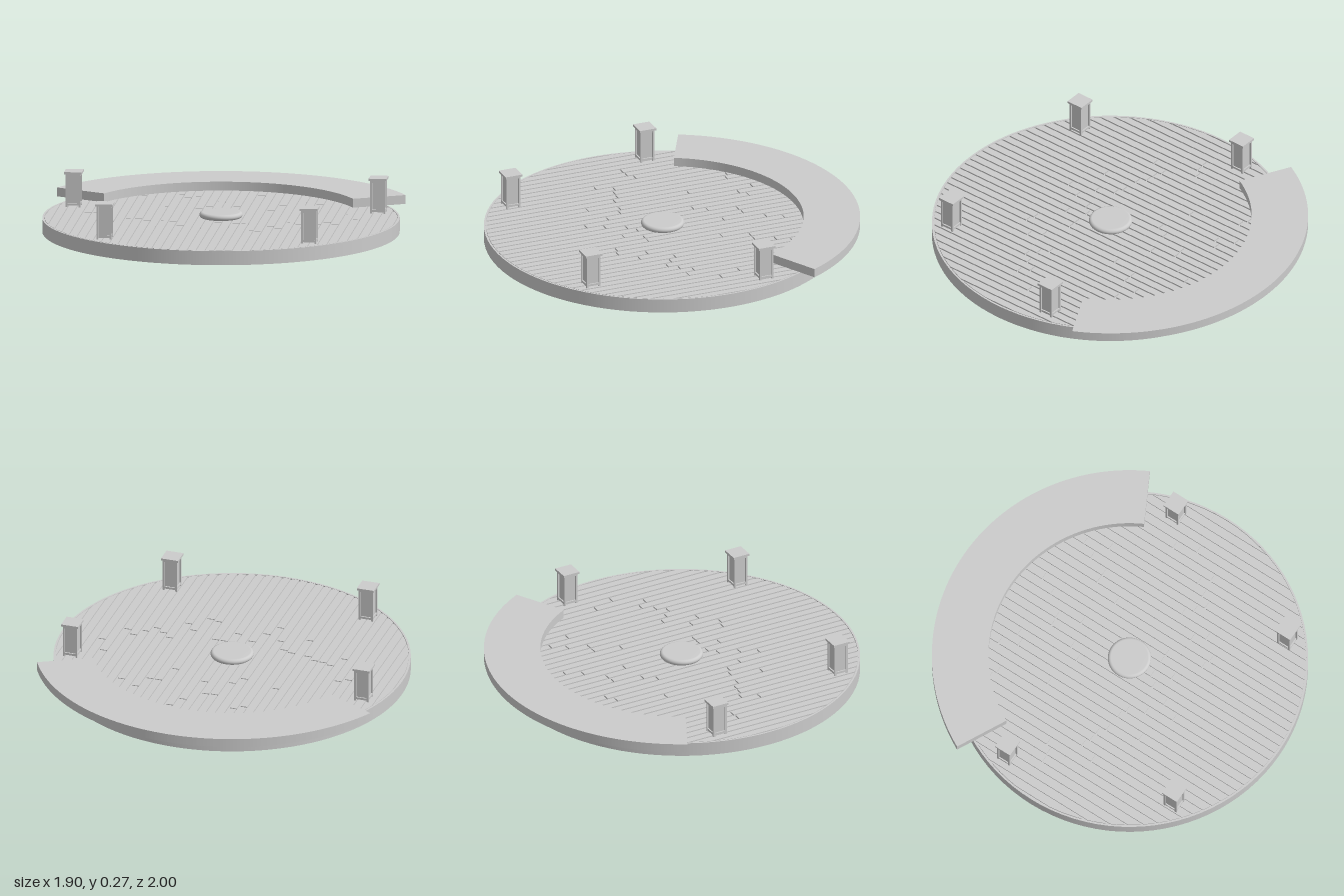
import * as THREE from 'three';

const RADIUS = 0.95, INNER = 0.937, TOP = 0.076, FLOOR = 0.068;
const PITCH = 0.048, GAP = 0.01;

// board joints (z), one entry per column, starting at the given column
const BACK = { first: -10, z: [-.515, -.495, null, -.235, -.58, -.485, -.52, -.18, -.245, -.4, -.405,
  -.275, -.5, -.585, null, -.185, -.33, -.33, -.435, -.51, -.38] };
const FRONT = { first: -15, z: [-.015, -.02, -.05, .2, .11, .13, .135, .17, .345, .18, .2, .29, .435, .345,
  .24, .2, .3, .2, .2, .4, .415, .265, .33, .145, .19, .23, .18, .12, .17, -.1, .02] };

export function createModel() {
  const grey = new THREE.MeshStandardMaterial({ color: 0xcccccc });
  grey.name = 'plain grey';
  const model = new THREE.Group();
  model.name = 'roundDeck';
  model.position.z = 0.05;

  const add = (parent, name, geometry, x = 0, y = 0, z = 0) => {
    const mesh = new THREE.Mesh(geometry, grey);
    mesh.name = name;
    mesh.position.set(x, y, z);
    parent.add(mesh);
    return mesh;
  };
  // flat outline (x, -z) raised upwards
  const slab = (shape, height, curveSegments = 64) =>
    new THREE.ExtrudeGeometry(shape, { depth: height, bevelEnabled: false, curveSegments }).rotateX(-Math.PI / 2);

  // round base with a thin rim around the boards
  add(model, 'deckBase', new THREE.CylinderGeometry(RADIUS, RADIUS, FLOOR, 96), 0, FLOOR / 2, 0);
  const rimProfile = [[INNER + 0.003, FLOOR], [RADIUS, FLOOR], [RADIUS, TOP], [RADIUS, TOP],
    [INNER + 0.003, TOP], [INNER + 0.003, TOP], [INNER + 0.003, FLOOR]];
  const rim = new THREE.LatheGeometry(rimProfile.map(p => new THREE.Vector2(...p)), 96);
  add(model, 'deckRim', rim.toNonIndexed()).geometry.computeVertexNormals();

  // boards running front to back, trimmed to the circle
  const planks = new THREE.Group();
  planks.name = 'planks';
  model.add(planks);
  const edge = x => Math.sqrt(Math.max(0, INNER * INNER - x * x));
  for (let col = -19; col <= 19; col++) {
    const x0 = Math.max(-INNER + 0.002, col * PITCH - (PITCH - GAP) / 2);
    const x1 = Math.min(INNER - 0.002, col * PITCH + (PITCH - GAP) / 2);
    const joints = [BACK, FRONT].map(row => row.z[col - row.first])
      .filter(z => z !== null && z !== undefined).map(z => z - 0.05);
    const cuts = [-2, ...joints, 2];
    for (let i = 0; i + 1 < cuts.length; i++) {
      const near = [], far = [];
      for (let k = 0; k <= 6; k++) {
        const x = x0 + (x1 - x0) * k / 6, e = edge(x);
        near.push(new THREE.Vector2(x, -Math.min(e, cuts[i + 1] - 0.004)));
        far.unshift(new THREE.Vector2(x, -Math.max(-e, cuts[i] + 0.004)));
      }
      add(planks, 'plank', slab(new THREE.Shape([...near, ...far]), TOP - FLOOR), 0, FLOOR, 0);
    }
  }

  // curved bench overhanging the back edge
  const a = THREE.MathUtils.degToRad(27.4);
  const arc = new THREE.Shape();
  arc.absarc(0, 0, 1.05, a, Math.PI - a, false);
  arc.absarc(0, 0, 0.75, Math.PI - a, a, true);
  arc.closePath();
  add(model, 'curvedBench', slab(arc, 0.048), 0, 0.078, 0);

  // round cushion in the middle, with a bulging edge
  const cushion = [[0, -0.016]];
  for (let k = 0; k <= 10; k++) {
    const t = -Math.PI / 2 + Math.PI * k / 10;
    cushion.push([0.098 + 0.017 * Math.cos(t), 0.016 * Math.sin(t)]);
  }
  cushion.push([0, 0.016]);
  add(model, 'centreCushion', new THREE.LatheGeometry(cushion.map(p => new THREE.Vector2(...p)), 48), 0, 0.092, 0);

  // four square lanterns
  const box = (w, h) => new THREE.BoxGeometry(w, h, w);
  for (const side of [-1, 1]) {
    for (const [x, z] of [[0.815, -0.24], [0.548, 0.645]]) {
      const lantern = new THREE.Group();
      lantern.name = 'lantern';
      lantern.position.set(side * x, TOP, z);
      model.add(lantern);
      add(lantern, 'lanternBase', box(0.078, 0.012), 0, 0.014, 0);
      add(lantern, 'lanternGlass', box(0.064, 0.16), 0, 0.098, 0);
      add(lantern, 'lanternTopFrame', box(0.078, 0.012), 0, 0.172, 0);
      add(lantern, 'lanternCap', box(0.095, 0.012), 0, 0.184, 0);
      for (const px of [-1, 1]) for (const pz of [-1, 1]) {
        add(lantern, 'lanternPost', box(0.01, 0.178), px * 0.035, 0.089, pz * 0.035);
      }
    }
  }
  return model;
}
